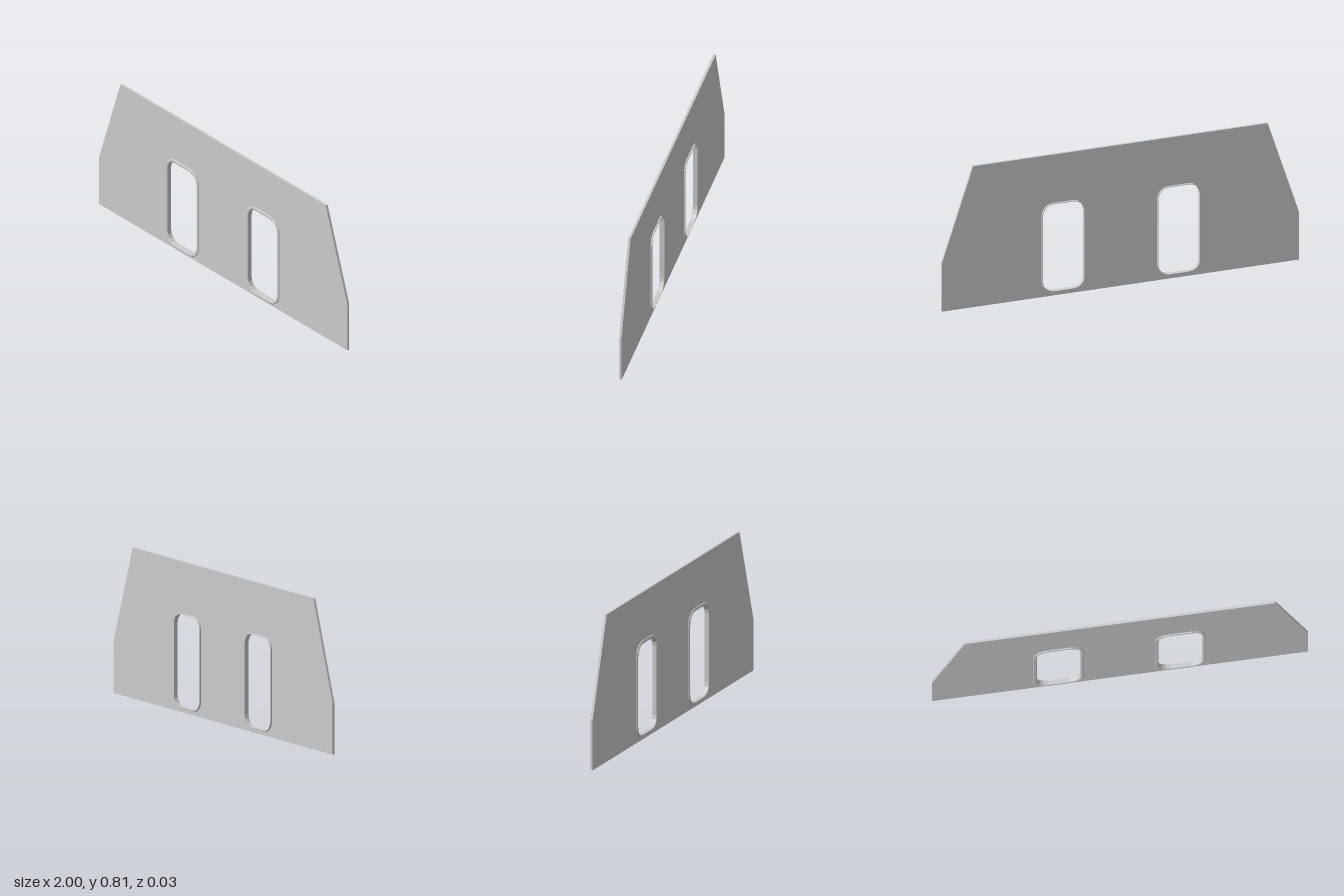
import * as THREE from 'three';

const FRONT = 0.008, BACK = -0.005;   // faces of the panel
const WINDOW = { w: 0.268, h: 0.535, y: 0.2775, r: 0.078 };
const CENTRES = [-0.327, 0.321];

// Counter-clockwise rounded rectangle, shrunk by an inset
function roundedLoop(cx, inset, steps = 4) {
  const hw = WINDOW.w / 2, hh = WINDOW.h / 2, r = WINDOW.r;
  const points = [];
  [[1, 1], [-1, 1], [-1, -1], [1, -1]].forEach(([sx, sy], corner) => {
    for (let i = 0; i <= steps; i++) {
      const a = (corner + i / steps) * Math.PI / 2;
      points.push(new THREE.Vector2(
        cx + sx * (hw - r) + Math.cos(a) * (r - inset),
        WINDOW.y + sy * (hh - r) + Math.sin(a) * (r - inset)));
    }
  });
  return points;
}

// Frame swept round the window: profile of [inset, z] from outside, over the front, to the back
function frameGeometry(cx) {
  const profile = [
    [0, FRONT], [0, 0.0115], [0.003, 0.014], [0.013, 0.014], [0.0175, 0.011],
    [0.0175, -0.014], [0.0145, -0.014], [0.0125, -0.011], [0.0125, BACK],
  ];
  const positions = [], index = [];
  const loops = profile.map(([inset]) => roundedLoop(cx, inset));
  const n = loops[0].length;
  loops.forEach((loop, j) => loop.forEach(p => positions.push(p.x, p.y, profile[j][1])));
  for (let j = 0; j < profile.length - 1; j++) {
    for (let i = 0; i < n; i++) {
      const k = (i + 1) % n;
      const a = j * n + i, b = j * n + k, c = (j + 1) * n + k, d = (j + 1) * n + i;
      index.push(a, b, c, a, c, d);
    }
  }
  const geometry = new THREE.BufferGeometry();
  geometry.setAttribute('position', new THREE.Float32BufferAttribute(positions, 3));
  geometry.setIndex(index);
  const flat = geometry.toNonIndexed();
  flat.computeVertexNormals();
  return flat;
}

export function createModel() {
  const model = new THREE.Group();
  model.name = 'windowPanel';
  const material = new THREE.MeshStandardMaterial({ color: 0xcccccc, flatShading: true });

  // Flat panel with sloping upper ends and two window openings
  const outline = new THREE.Shape([[-1, 0], [1, 0], [1, 0.28], [0.826, 0.81], [-0.826, 0.81], [-1, 0.28]]
    .map(([x, y]) => new THREE.Vector2(x, y)));
  CENTRES.forEach(cx => outline.holes.push(new THREE.Path(roundedLoop(cx, 0.0125))));
  const panelGeometry = new THREE.ExtrudeGeometry(outline, { depth: FRONT - BACK, bevelEnabled: false });
  panelGeometry.translate(0, 0, BACK);
  const panel = new THREE.Mesh(panelGeometry, material);
  panel.name = 'panel';
  model.add(panel);

  // Window frames, wide lip in front and narrow lip behind
  CENTRES.forEach((cx, i) => {
    const frame = new THREE.Mesh(frameGeometry(cx), material);
    frame.name = i === 0 ? 'rightWindowFrame' : 'leftWindowFrame';
    model.add(frame);
  });
  return model;
}
